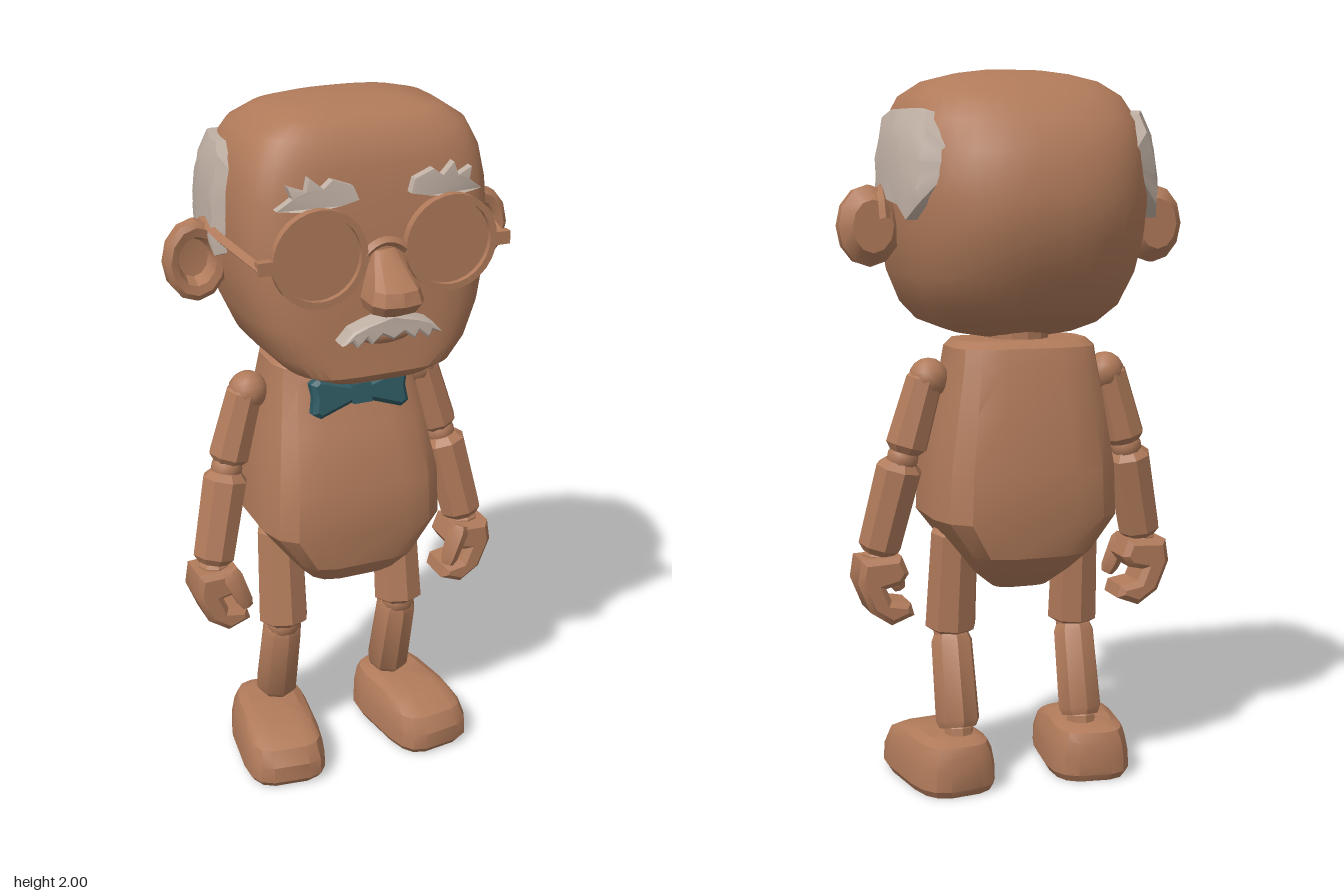
import * as THREE from 'three';
import { toCreasedNormals, mergeVertices } from 'three/addons/utils/BufferGeometryUtils.js';

const mat = (name, color, side = THREE.FrontSide) => {
  const m = new THREE.MeshStandardMaterial({ color, side });
  m.name = name;
  return m;
};
const skin = mat('skin', 0xb07a5a);
const hairGrey = mat('hair grey', 0xc0b0a4, THREE.DoubleSide);
const teal = mat('bow tie teal', 0x2f5a63);

const V = (x, y, z) => new THREE.Vector3(x, y, z);
const P = (x, y) => new THREE.Vector2(x, y);

function part(name, geo, material, crease = 0.6) {
  const mesh = new THREE.Mesh(crease ? toCreasedNormals(geo, crease) : geo, material);
  mesh.name = name;
  return mesh;
}

// Triangles over a grid of points; rows run upward, columns run around
function grid(rows, cols, pos, closed) {
  const idx = [];
  for (let j = 0; j < rows - 1; j++) {
    for (let i = 0; i < (closed ? cols : cols - 1); i++) {
      const a = j * cols + i, b = j * cols + (i + 1) % cols;
      idx.push(a, a + cols, b, b, a + cols, b + cols);
    }
  }
  if (closed) {
    const lo = pos.length / 3 - 2, top = (rows - 1) * cols;
    for (let i = 0; i < cols; i++) {
      const n = (i + 1) % cols;
      idx.push(lo, i, n, lo + 1, top + n, top + i);
    }
  }
  const g = new THREE.BufferGeometry();
  g.setAttribute('position', new THREE.Float32BufferAttribute(pos, 3));
  g.setIndex(idx);
  return g;
}

// Loft of rounded-square rings: [y, half width, front z, back z]
function loft(sections, sides, zc, nf, nb) {
  const pos = [];
  const pw = (v, n) => Math.sign(v) * Math.pow(Math.abs(v), 2 / n);
  for (const [y, w, zf, zb] of sections) {
    const c = zc ?? (zf + zb) / 2;
    for (let i = 0; i < sides; i++) {
      const t = ((i + 0.5) / sides) * Math.PI * 2;
      const s = Math.sin(t), n = s > 0 ? nf : nb;
      pos.push(w * pw(Math.cos(t), n), y, c + (s > 0 ? zf - c : c - zb) * pw(s, n));
    }
  }
  for (const [y, , zf, zb] of [sections[0], sections[sections.length - 1]]) pos.push(0, y, zc ?? (zf + zb) / 2);
  return grid(sections.length, sides, pos, true);
}

const HEAD = [
  [1.27, .08, .2, -.08], [1.285, .17, .27, -.14], [1.31, .235, .29, -.2], [1.36, .285, .285, -.29],
  [1.45, .325, .28, -.35], [1.55, .345, .275, -.39], [1.66, .355, .265, -.405], [1.78, .35, .25, -.375],
  [1.86, .335, .235, -.33], [1.93, .3, .21, -.24], [1.97, .24, .165, -.165], [1.99, .16, .1, -.1], [2, .08, .04, -.05],
];
const HZ = -0.03, NF = 4.5, NB = 2.4;
function headAt(y) {
  let k = 0;
  while (k < HEAD.length - 2 && HEAD[k + 1][0] < y) k++;
  const a = HEAD[k], b = HEAD[k + 1], t = (y - a[0]) / (b[0] - a[0]);
  return a.map((v, i) => v + (b[i] - v) * t);
}
// Head surface: front z for (x, y), side x for (y, z)
function headFront(x, y) {
  const [, w, zf] = headAt(y);
  return HZ + (zf - HZ) * Math.pow(Math.max(0, 1 - Math.pow(Math.abs(x) / w, NF)), 1 / NF);
}
function headSide(y, z) {
  const [, w, zf, zb] = headAt(y);
  const n = z > HZ ? NF : NB, t = z > HZ ? (z - HZ) / (zf - HZ) : (HZ - z) / (HZ - zb);
  return w * Math.pow(Math.max(0, 1 - Math.pow(t, n)), 1 / n);
}

function extrude(points, depth, bevel) {
  return new THREE.ExtrudeGeometry(new THREE.Shape(points.map(p => P(...p))), {
    depth, bevelEnabled: bevel > 0, bevelSize: bevel, bevelThickness: bevel, bevelSegments: 1, bevelOffset: -bevel,
  });
}
// Lay an extruded shape on the face
function onFace(geo) {
  const p = geo.attributes.position;
  for (let i = 0; i < p.count; i++) p.setZ(i, p.getZ(i) + headFront(p.getX(i), p.getY(i)));
  return geo;
}

// Turned, chamfered limb from a to b
function limb(name, a, b, r0, r1, sides = 8, end = 0.7) {
  const L = a.distanceTo(b), c = 0.02;
  const g = new THREE.LatheGeometry([P(0, 0), P(r0 * end, 0), P(r0, c), P(r1, L - c), P(r1 * end, L), P(0, L)], sides);
  const m = part(name, g, skin, 0.5);
  m.position.copy(a);
  m.quaternion.setFromUnitVectors(V(0, 1, 0), b.clone().sub(a).normalize());
  return m;
}
function ball(name, x, y, z, r) {
  const m = part(name, new THREE.SphereGeometry(r, 12, 8), skin, 0);
  m.position.set(x, y, z);
  return m;
}

// Everything that exists once per side, built on +x
function buildSide() {
  const g = new THREE.Group();

  // Arm
  g.add(ball('shoulder', .26, 1.165, -.07, .056));
  g.add(limb('upperArm', V(.328, .96, -.065), V(.265, 1.18, -.07), .06, .053));
  g.add(ball('elbow', .332, .945, -.06, .045));
  g.add(limb('forearm', V(.395, .675, -.02), V(.336, .935, -.055), .062, .066));
  g.add(limb('wrist', V(.395, .63, -.018), V(.393, .69, -.02), .045, .045));
  const hand = part('hand', extrude([[.34, .67], [.32, .62], [.34, .59], [.385, .58], [.37, .545], [.315, .535],
    [.305, .5], [.37, .475], [.43, .515], [.465, .6], [.455, .665]], .1, .016), skin);
  hand.position.z = -.07;
  g.add(hand);
  g.add(limb('thumb', V(.318, .55, .045), V(.365, .665, .03), .025, .032, 6));

  // Leg
  g.add(limb('thigh', V(.185, .43, -.015), V(.18, .745, -.05), .074, .068, 8, .6));
  g.add(ball('knee', .185, .43, -.02, .05));
  g.add(limb('shin', V(.185, .17, -.09), V(.185, .425, -.025), .064, .06, 8, .85));
  g.add(limb('ankle', V(.185, .12, -.1), V(.185, .19, -.09), .042, .042));
  const foot = part('foot', loft([[0, .11, .185, -.19], [.02, .122, .2, -.2], [.07, .12, .2, -.2], [.115, .11, .175, -.195],
    [.14, .097, .12, -.185], [.155, .07, .06, -.15]], 16, null, 4, 3.5), skin, 0.5);
  foot.position.set(.217, 0, -.004);
  foot.rotation.y = .13;
  g.add(foot);

  // Ear: bowl with a thick rim, open to the front
  const earGeo = new THREE.LatheGeometry([P(0, -.085), P(.065, -.085), P(.1, -.045), P(.1, -.01), P(.085, 0),
    P(.062, -.005), P(.048, -.045), P(0, -.05)], 12).rotateX(Math.PI / 2).scale(.87, 1.1, 1);
  const ear = part('ear', earGeo, skin, 0.5);
  ear.position.set(.413, 1.58, 0);
  g.add(ear);

  // Eyebrow
  g.add(part('eyebrow', onFace(extrude([[.285, 1.77], [.245, 1.8], [.255, 1.83], [.21, 1.815], [.2, 1.85], [.165, 1.82],
    [.14, 1.84], [.085, 1.82], [.072, 1.785], [.12, 1.775], [.2, 1.765]].reverse(), .035, 0).translate(0, 0, -.01)), hairGrey, 0.4));

  // Side hair: curved patch over the head with a sunken rim
  const top = [1.82, 1.87, 1.89, 1.89, 1.89, 1.89, 1.88, 1.83, 1.77];
  const low = [1.62, 1.6, 1.65, 1.66, 1.65, 1.64, 1.6, 1.64, 1.73];
  const pos = [], cols = top.length, rows = 8;
  for (let j = 0; j < rows; j++) {
    for (let i = 0; i < cols; i++) {
      const u = i / (cols - 1), v = Math.min(1, Math.max(0, (j - 1) / (rows - 3)));
      const z = .065 - .355 * u, y = low[i] + (top[i] - low[i]) * v;
      const rim = j === 0 || j === rows - 1 || i === 0 || i === cols - 1;
      pos.push(headSide(y, z) + (rim ? -.012 : .026 + .005 * ((i + j) % 2)), y, z);
    }
  }
  g.add(part('sideHair', grid(rows, cols, pos, false), hairGrey, 0.5));

  // Spectacle rim, lens, hinge and temple
  const ring = new THREE.Shape().absarc(0, 0, .13, 0, Math.PI * 2);
  ring.holes.push(new THREE.Path().absarc(0, 0, .112, 0, Math.PI * 2));
  const rim = part('spectacleRim', new THREE.ExtrudeGeometry(ring, { depth: .025, bevelEnabled: false, curveSegments: 14 }), skin);
  rim.position.set(.183, 1.645, .265);
  const lens = part('lens', new THREE.CircleGeometry(.114, 28), skin, 0);
  lens.position.set(.183, 1.645, .274);
  const hinge = part('hinge', new THREE.BoxGeometry(.05, .035, .025), skin);
  hinge.position.set(.327, 1.64, .278);
  const path = new THREE.CurvePath();
  const pts = [V(.34, 1.637, .285), V(.372, 1.66, .06), V(.382, 1.678, -.04), V(.385, 1.66, -.08), V(.385, 1.6, -.1)];
  for (let i = 1; i < pts.length; i++) path.add(new THREE.LineCurve3(pts[i - 1], pts[i]));
  g.add(rim, lens, hinge, part('temple', new THREE.TubeGeometry(path, 16, .015, 4), skin));
  return g;
}

export function createModel() {
  const model = new THREE.Group();
  model.name = 'woodenPuppet';

  // Head, neck and torso
  model.add(part('head', loft(HEAD, 40, HZ, NF, NB), skin, 0.7));
  model.add(limb('neck', V(0, 1.2, -.07), V(0, 1.32, -.07), .085, .085, 12));
  model.add(part('torso', loft([[.57, .08, .0, -.12], [.62, .14, .12, -.19], [.68, .19, .17, -.26], [.78, .268, .178, -.275],
    [.92, .262, .175, -.275], [1.08, .235, .115, -.25], [1.2, .212, .065, -.225], [1.25, .205, .05, -.21],
    [1.27, .185, .035, -.18]], 16, null, 4, 3.4), skin, 0.45));

  // Nose
  model.add(part('nose', loft([[1.485, .035, .34, .25], [1.5, .065, .375, .25], [1.53, .075, .402, .25], [1.565, .065, .392, .25],
    [1.6, .05, .345, .25], [1.645, .03, .28, .25]], 10, null, 2.8, 4), skin, 0.4));

  // Moustache and lower lip
  const half = [[.07, 1.47], [.11, 1.455], [.142, 1.42], [.112, 1.43], [.1, 1.41], [.073, 1.434], [.06, 1.414], [.03, 1.437]];
  const outline = [[0, 1.487], ...half, [0, 1.42], ...half.map(([x, y]) => [-x, y]).reverse()].reverse();
  model.add(part('moustache', onFace(extrude(outline, .06, .006).translate(0, 0, -.01)), hairGrey, 0.4));
  const lip = ball('lowerLip', 0, 1.42, .275, .08);
  lip.scale.set(1, .35, .35);
  model.add(lip);

  // Spectacle bridge
  const bridge = new THREE.QuadraticBezierCurve3(V(-.06, 1.64, .278), V(0, 1.7, .278), V(.06, 1.64, .278));
  model.add(part('spectacleBridge', new THREE.TubeGeometry(bridge, 8, .013, 4), skin));

  // Bow tie
  const bow = new THREE.Group();
  bow.name = 'bowTie';
  for (const s of [1, -1]) {
    const wing = [[.01, -.022], [.12, -.06], [.143, -.045], [.136, 0], [.143, .04], [.12, .055], [.01, .022]].map(([x, y]) => [x * s, y]);
    bow.add(part('bowWing', extrude(s > 0 ? wing : wing.reverse(), .025, .012), teal));
  }
  const knot = part('bowKnot', new THREE.BoxGeometry(.055, .055, .06), teal);
  knot.position.z = .015;
  bow.add(knot);
  bow.position.set(0, 1.187, .092);
  bow.rotation.x = -.15;
  model.add(bow);

  // Paired parts
  const left = buildSide();
  left.name = 'leftSide';
  const right = left.clone();
  right.name = 'rightSide';
  right.scale.x = -1;
  model.add(left, right);
  return model;
}
